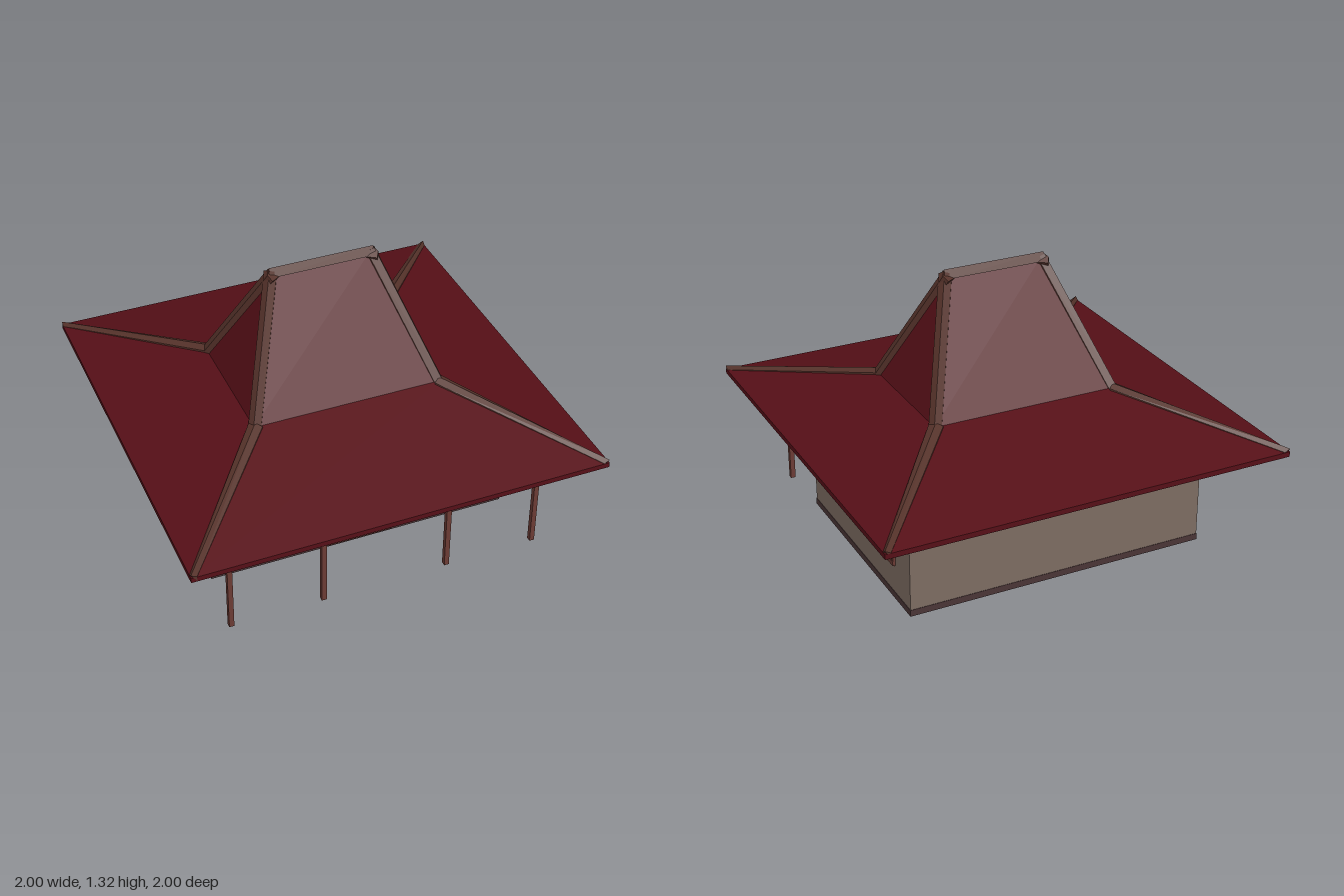
import * as THREE from 'three';

const mat = (color, extra = {}) => new THREE.MeshStandardMaterial({ color, flatShading: true, ...extra });
const WALL = mat(0x7d6c62), PLINTH = mat(0x4a3536), ROOF = mat(0x560f17), TRIM = mat(0x55322a),
  WOOD = mat(0x6b3b34), DOOR = mat(0x743e36), GLASS = mat(0x7d968b);
const V = (x, y, z) => new THREE.Vector3(x, y, z);

function box(parent, name, size, pos, material) {
  const mesh = new THREE.Mesh(new THREE.BoxGeometry(...size), material);
  mesh.position.set(...pos);
  mesh.name = name;
  parent.add(mesh);
  return mesh;
}

// Straight bar with the given cross-section, kept inside the eaves square
function bar(parent, name, a, b, profile, material) {
  const shape = new THREE.Shape(profile.map(([x, y]) => new THREE.Vector2(x, y)));
  const geo = new THREE.ExtrudeGeometry(shape, { depth: a.distanceTo(b), bevelEnabled: false });
  geo.applyMatrix4(new THREE.Matrix4().lookAt(b, a, V(0, 1, 0)).setPosition(a));
  const p = geo.attributes.position;
  for (let i = 0; i < p.count; i++) {
    p.setX(i, THREE.MathUtils.clamp(p.getX(i), -1, 1));
    p.setZ(i, THREE.MathUtils.clamp(p.getZ(i), -1, 1));
  }
  geo.computeVertexNormals();
  const mesh = new THREE.Mesh(geo, material);
  mesh.name = name;
  parent.add(mesh);
}

// Two-tier hipped roof from rectangular rings [halfX, halfZ, y]
function makeRoof() {
  const rings = [[1, 1, 0.54], [1, 1, 0.565], [0.465, 0.333, 0.72], [0.25, 0, 1.305]].map(
    ([x, z, y]) => [V(x, y, z), V(x, y, -z), V(-x, y, -z), V(-x, y, z)]);
  const pts = [];
  const quad = (a, b, c, d) => {
    pts.push(a, b, c);
    if (!c.equals(d)) pts.push(a, c, d);
  };
  for (let r = 0; r < 3; r++) {
    for (let i = 0; i < 4; i++) {
      const j = (i + 1) % 4;
      quad(rings[r][i], rings[r][j], rings[r + 1][j], rings[r + 1][i]);
    }
  }
  const [a, b, c, d] = rings[0];
  quad(d, c, b, a);
  const geo = new THREE.BufferGeometry().setFromPoints(pts);
  geo.computeVertexNormals();
  const mesh = new THREE.Mesh(geo, ROOF);
  mesh.name = 'roof';
  return mesh;
}

// Four-pane window facing +z, centred on its own origin
function makeWindow() {
  const g = new THREE.Group();
  g.name = 'window';
  box(g, 'glass', [0.13, 0.28, 0.008], [0, 0, 0.002], GLASS);
  for (const s of [-1, 1]) {
    box(g, 'frameSide', [0.015, 0.3, 0.02], [s * 0.068, 0, 0.003], WOOD);
    box(g, 'frameRail', [0.15, 0.022, 0.022], [0, s * 0.139, 0.003], WOOD);
  }
  box(g, 'mullion', [0.014, 0.28, 0.016], [0, 0, 0.003], WOOD);
  box(g, 'crossbar', [0.13, 0.017, 0.016], [0, 0.002, 0.003], WOOD);
  return g;
}

export function createModel() {
  const model = new THREE.Group();
  model.name = 'house';

  // Body
  box(model, 'walls', [1.49, 0.51, 1.13], [0.005, 0.285, -0.105], WALL);
  box(model, 'plinth', [1.494, 0.032, 1.134], [0.005, 0.016, -0.105], PLINTH);

  // Windows on the front and both sides
  const addWindow = (x, z, turn) => {
    const w = makeWindow();
    w.position.set(x, 0.328, z);
    w.rotation.y = turn;
    model.add(w);
  };
  for (const s of [-1, 1]) {
    addWindow(s * 0.515, 0.46, 0);
    for (const z of [0.225, -0.44]) addWindow(0.005 + s * 0.745, z, s * Math.PI / 2);
  }

  // Double door with raised panels
  const door = new THREE.Group();
  door.name = 'door';
  box(door, 'doorFrame', [0.336, 0.49, 0.014], [0, 0.255, 0.46], DOOR);
  for (const s of [-1, 1]) {
    box(door, 'doorLeaf', [0.155, 0.475, 0.012], [s * 0.0785, 0.25, 0.464], DOOR);
    box(door, 'lowerPanel', [0.125, 0.25, 0.008], [s * 0.0785, 0.165, 0.468], DOOR);
    box(door, 'upperPanel', [0.125, 0.165, 0.008], [s * 0.0785, 0.392, 0.468], DOOR);
  }
  model.add(door);

  // Porch posts with braces up to the eaves
  const brace = [[-0.011, -0.009], [0.011, -0.009], [0.011, 0.009], [-0.011, 0.009]];
  for (const x of [-0.76, -0.31, 0.31, 0.76]) {
    box(model, 'post', [0.024, 0.545, 0.024], [x, 0.2725, 0.777], WOOD);
    bar(model, 'frontBrace', V(x, 0.415, 0.777), V(x, 0.54, 0.985), brace, TRIM);
    if (Math.abs(x) > 0.5) {
      bar(model, 'sideBrace', V(x, 0.415, 0.777), V(Math.sign(x) * 0.99, 0.54, 0.777), brace, WOOD);
    }
  }

  // Roof with caps along hips and ridge
  model.add(makeRoof());
  const lowCap = [[-0.034, -0.026], [0.034, -0.026], [0.034, 0], [0, 0.014], [-0.034, 0]];
  const highCap = [[-0.03, -0.045], [0.03, -0.045], [0.03, -0.01], [0, 0.014], [-0.03, -0.01]];
  for (const sx of [-1, 1]) {
    for (const sz of [-1, 1]) {
      bar(model, 'lowerHipCap', V(sx, 0.567, sz), V(sx * 0.455, 0.725, sz * 0.325), lowCap, TRIM);
      bar(model, 'upperHipCap', V(sx * 0.465, 0.715, sz * 0.333), V(sx * 0.25, 1.305, 0), highCap, TRIM);
    }
  }
  bar(model, 'ridgeCap', V(-0.255, 1.305, 0), V(0.255, 1.305, 0),
    [[-0.022, -0.025], [0.022, -0.025], [0, 0.016]], TRIM);
  return model;
}
